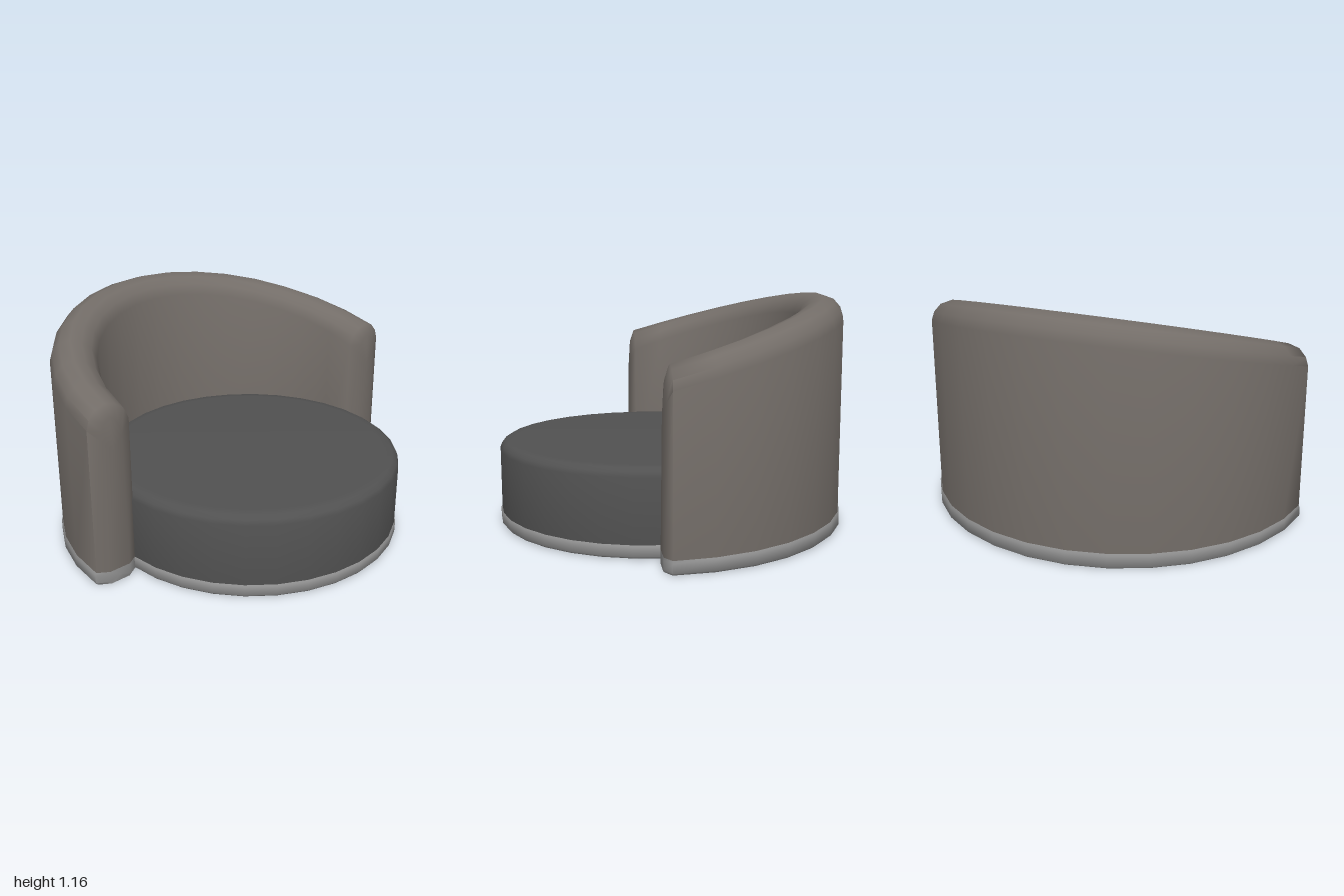
import * as THREE from 'three';
import { toCreasedNormals } from 'three/addons/utils/BufferGeometryUtils.js';

const CZ = 0.11;      // centre of the round plan
const SLOPE = 0.292;  // rise of the back's rim towards the rear
const MID = 0.88;     // middle radius of the wall
const BULGE = 0.034;  // how far the two ends swell forward

// Sweeps a profile of [radius, y, follow] half way round the seat, leaving the
// side between its last and first point open where back and trim meet.
// follow = 1 makes a point climb with the sloping rim.
function sweepWall(profile, crease) {
  const steps = 16;
  const rows = [{ a: 0, dz: BULGE, s: 0.5 }];
  for (let i = 0; i <= steps; i++) rows.push({ a: Math.PI * i / steps, dz: 0, s: 1 });
  rows.push({ a: Math.PI, dz: BULGE, s: 0.5 });

  const pos = [], idx = [], n = profile.length;
  for (const { a, dz, s } of rows) {
    for (const [r0, y, follow] of profile) {
      const r = MID + (r0 - MID) * s;
      const rise = follow * (SLOPE * 0.89 * Math.sin(a) - (dz ? 0.06 : 0));
      // the bulge fades a little towards the rim
      pos.push(r * Math.cos(a), y + rise, CZ - r * Math.sin(a) + dz * (1 - 0.35 * follow));
    }
  }
  for (let i = 0; i < rows.length - 1; i++) {
    for (let j = 0; j < n - 1; j++) {
      const a = i * n + j, b = a + n;
      idx.push(a, b, b + 1, a, b + 1, a + 1);
    }
  }
  // end caps
  const midY = profile.reduce((sum, p) => sum + p[1], 0) / n;
  const last = (rows.length - 1) * n, c0 = rows.length * n;
  pos.push(MID, midY, CZ + BULGE, -MID, midY, CZ + BULGE);
  for (let j = 0; j < n; j++) {
    const k = (j + 1) % n;
    idx.push(c0, j, k, c0 + 1, last + k, last + j);
  }
  const geo = new THREE.BufferGeometry();
  geo.setAttribute('position', new THREE.Float32BufferAttribute(pos, 3));
  geo.setIndex(idx);
  return toCreasedNormals(geo, crease);
}

function lathe(points) {
  const geo = new THREE.LatheGeometry(points.map(([r, y]) => new THREE.Vector2(r, y)), 32);
  return toCreasedNormals(geo.translate(0, 0, CZ), 0.9);
}

export function createModel() {
  const group = new THREE.Group();
  const add = (name, geo, color) => {
    const mesh = new THREE.Mesh(geo, new THREE.MeshStandardMaterial({ color, side: THREE.DoubleSide }));
    mesh.name = name;
    group.add(mesh);
  };
  const fabric = 0x736d68, cushion = 0x515151, metal = 0x919191;

  // Wrap-around back and arms with a rounded, sloping rim
  add('backrest', sweepWall([
    [0.994, 0.066, 0.04],
    [0.994, 0.8, 1], [0.98, 0.845, 1], [0.945, 0.885, 1], [0.89, 0.903, 1],
    [0.835, 0.888, 1], [0.79, 0.855, 1], [0.765, 0.8, 1],
    [0.765, 0.066, 0.04],
  ], 1.25), fabric);

  // Trim under the back, a touch taller at the rear
  add('backTrim', sweepWall([
    [0.765, 0.068, 0.04], [0.76, 0.012, 0], [0.775, 0, 0],
    [0.985, 0, 0], [1, 0.012, 0], [1, 0.056, 0.04], [0.994, 0.068, 0.04],
  ], 1.2), metal);

  // Round seat with a softened upper edge
  add('seat', lathe([
    [0, 0.004], [0.768, 0.004], [0.771, 0.06], [0.772, 0.38],
    [0.763, 0.403], [0.74, 0.419], [0.7, 0.422], [0, 0.422],
  ]), cushion);

  // Trim around the foot of the seat
  add('seatTrim', lathe([
    [0.767, 0.004], [0.776, 0.014], [0.777, 0.058], [0.77, 0.068],
  ]), metal);

  return group;
}
